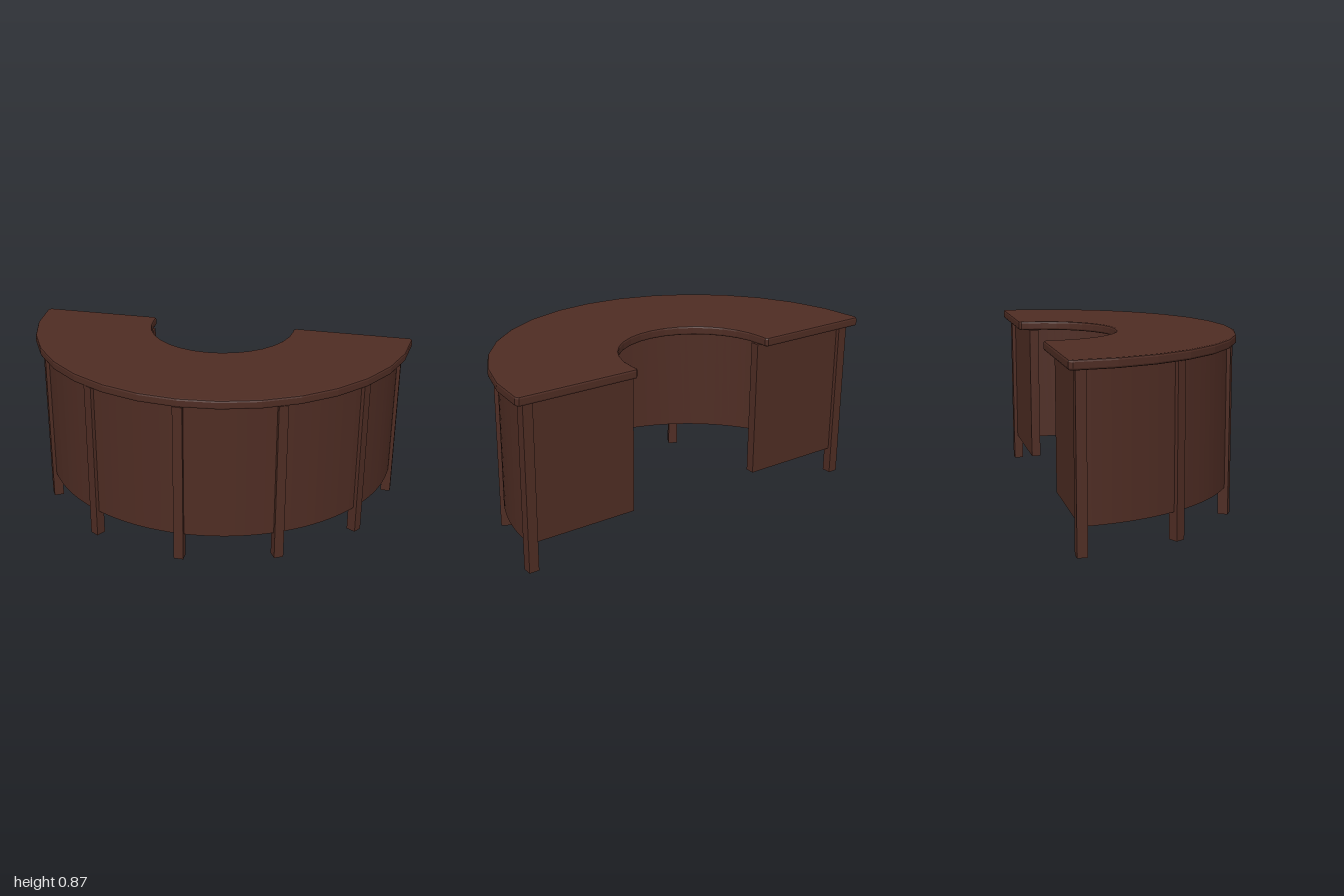
import * as THREE from 'three';

const wood = new THREE.MeshStandardMaterial({ color: 0x4e2c23 });
wood.name = 'dark brown wood';

// Points of a half circle bulging to the front, from +x round to -x
function halfArc(radius, centreZ, segments) {
  return Array.from({ length: segments + 1 }, (_, i) => {
    const a = (i / segments) * Math.PI;
    return new THREE.Vector2(radius * Math.cos(a), centreZ + radius * Math.sin(a));
  });
}

// Horizontal slab from an (x, z) outline, extruded downwards from topY
function slab(points, topY, height, bevel) {
  const geometry = new THREE.ExtrudeGeometry(new THREE.Shape(points), {
    depth: height - 2 * bevel,
    bevelEnabled: bevel > 0,
    bevelSize: bevel,
    bevelThickness: bevel,
    bevelSegments: 2,
  });
  geometry.rotateX(Math.PI / 2);
  geometry.translate(0, topY - bevel, 0);
  return geometry;
}

export function createModel() {
  const group = new THREE.Group();
  const add = (name, geometry, x = 0, y = 0, z = 0, turn = 0) => {
    const mesh = new THREE.Mesh(geometry, wood);
    mesh.name = name;
    mesh.position.set(x, y, z);
    mesh.rotation.y = turn;
    group.add(mesh);
  };

  const topY = 0.868, underside = 0.822, panelBottom = 0.135, centreZ = -0.45;
  const panelHeight = underside - panelBottom;

  // Half-ring desktop with eased edges, straight back ends and clipped corners
  const outline = [
    new THREE.Vector2(0.984, -0.5),
    ...halfArc(0.99, -0.49, 16),
    new THREE.Vector2(-0.984, -0.5),
    new THREE.Vector2(-0.394, -0.5),
    new THREE.Vector2(-0.388, -0.494),
    ...halfArc(0.388, -0.46, 16).reverse(),
    new THREE.Vector2(0.388, -0.494),
    new THREE.Vector2(0.394, -0.5),
  ];
  add('desktop', slab(outline, topY, topY - underside, 0.01));

  // Thick curved front panel
  const ring = [...halfArc(0.937, centreZ, 64), ...halfArc(0.862, centreZ, 64).reverse()];
  add('curvedPanel', slab(ring, underside, panelHeight, 0));

  // Flat panels closing the two ends, set in from the back of the legs
  const endPanel = new THREE.BoxGeometry(0.55, panelHeight, 0.046);
  for (const side of [1, -1]) {
    add(side > 0 ? 'leftEndPanel' : 'rightEndPanel', endPanel,
      side * 0.645, panelBottom + panelHeight / 2, -0.432);
  }

  // Seven square legs spaced around the curve
  const leg = new THREE.BoxGeometry(0.048, underside, 0.05);
  for (let i = -3; i <= 3; i++) {
    const a = (i * Math.PI) / 6;
    add('leg', leg, 0.93 * Math.sin(a), underside / 2, centreZ + 0.93 * Math.cos(a), a);
  }
  return group;
}
